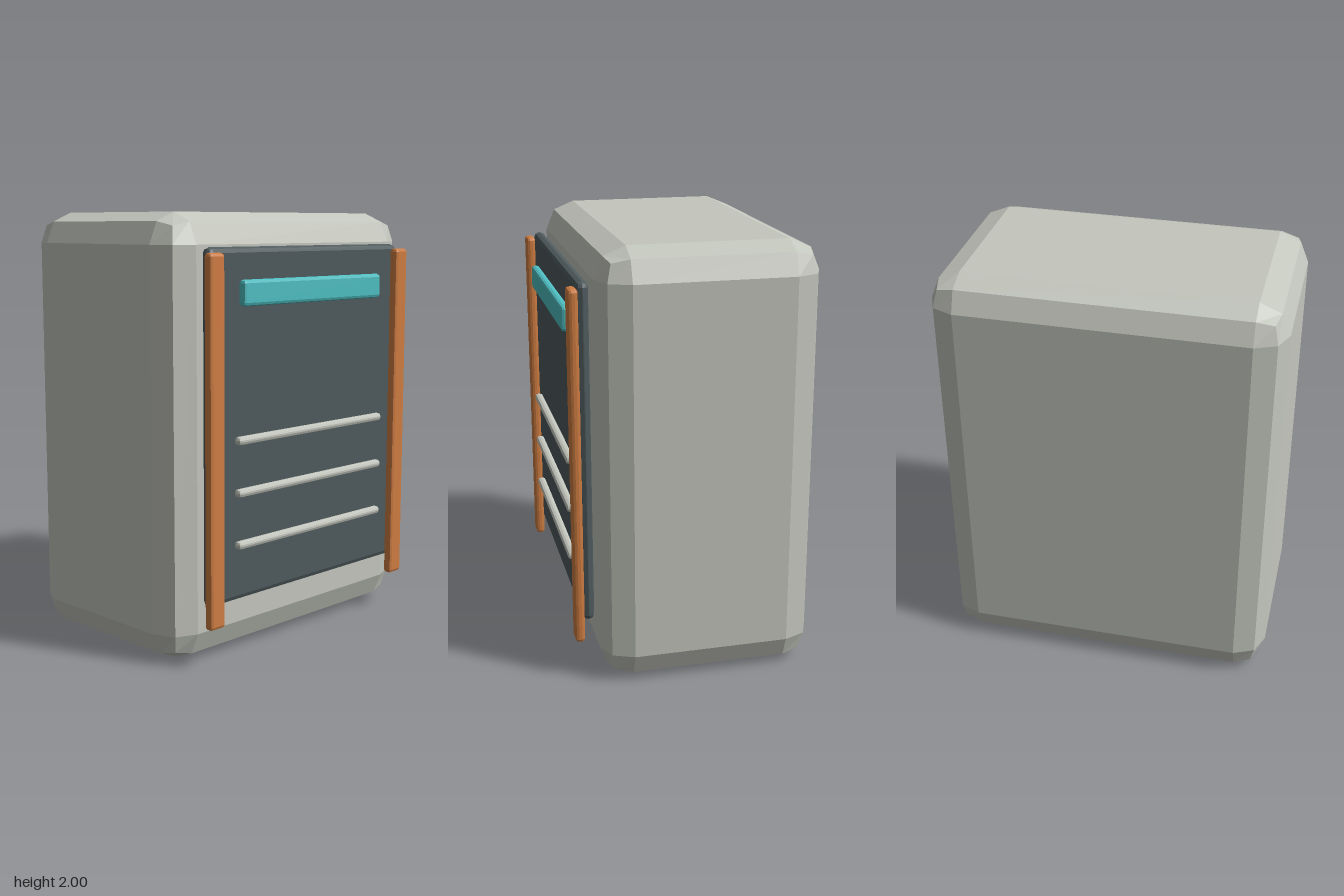
import * as THREE from 'three';
import { RoundedBoxGeometry } from 'three/addons/geometries/RoundedBoxGeometry.js';

const paint = (name, color) => {
  const m = new THREE.MeshStandardMaterial({ color, flatShading: true });
  m.name = name;
  return m;
};

export function createModel() {
  const group = new THREE.Group();
  group.name = 'cabinet';

  const shell = paint('warm grey', 0xc4c7be);
  const dark = paint('dark slate', 0x4f5b5e);
  const orange = paint('orange', 0xcf7d42);
  const cyan = paint('cyan', 0x4fbfc2);

  // Box with one-step bevelled edges
  const block = (name, material, [w, h, d], [x, y, z], bevel) => {
    const mesh = new THREE.Mesh(new RoundedBoxGeometry(w, h, d, 1, bevel), material);
    mesh.name = name;
    mesh.position.set(x, y, z);
    group.add(mesh);
  };

  // Main housing and front door
  block('housing', shell, [1.59, 2, 1], [0, 1, -0.057], 0.14);
  block('doorPanel', dark, [1.29, 1.58, 0.054], [0, 1.06, 0.486], 0.025);

  // Upright rails on both sides of the door
  for (const side of [1, -1]) {
    block(side > 0 ? 'leftRail' : 'rightRail', orange,
      [0.09, 1.645, 0.044], [side * 0.635, 1.005, 0.533], 0.015);
  }

  // Display strip near the top
  block('displayStrip', cyan, [0.945, 0.115, 0.04], [0, 1.652, 0.533], 0.015);

  // Horizontal vent slats
  [1.005, 0.77, 0.533].forEach((y, i) => {
    block(`ventSlat${i + 1}`, shell, [1, 0.038, 0.04], [0, y, 0.533], 0.015);
  });

  return group;
}
